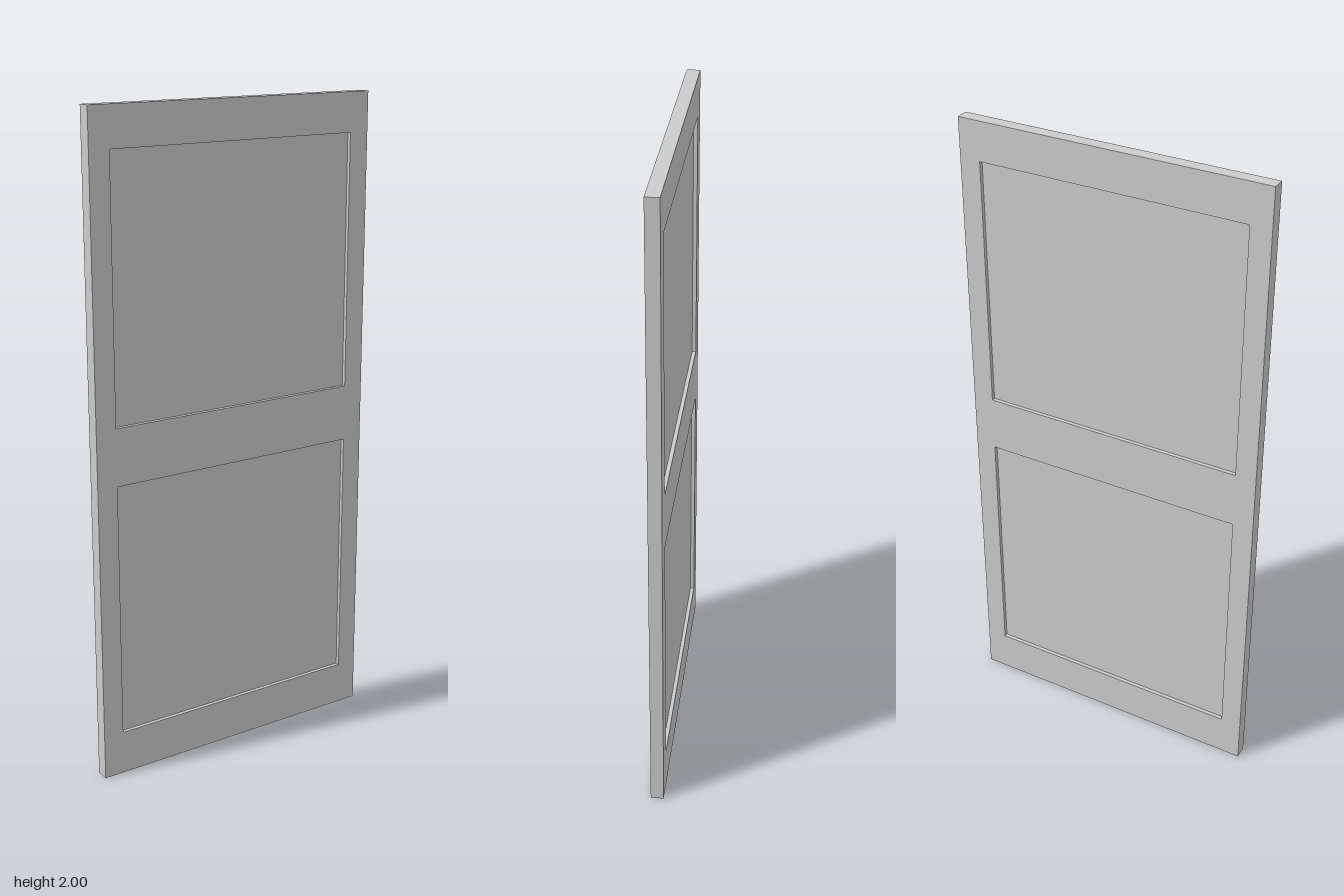
import * as THREE from 'three';

const W = 0.96, H = 2, T = 0.04;       // door leaf
const PANEL_T = 0.016;                 // recessed panel thickness
const OPENING_X = 0.415;               // half width of the openings
const OPENINGS = [
  { name: 'lowerPanel', y0: 0.135, y1: 0.92 },
  { name: 'upperPanel', y0: 1.095, y1: 1.88 },
];

function rectangle(target, x0, y0, x1, y1) {
  target.moveTo(x0, y0);
  target.lineTo(x1, y0);
  target.lineTo(x1, y1);
  target.lineTo(x0, y1);
  target.closePath();
  return target;
}

export function createModel() {
  const group = new THREE.Group();
  group.name = 'panelDoor';
  const material = new THREE.MeshStandardMaterial({ color: 0xcccccc });

  // Stiles and rails: one slab with two rectangular openings
  const outline = rectangle(new THREE.Shape(), -W / 2, 0, W / 2, H);
  for (const { y0, y1 } of OPENINGS) {
    outline.holes.push(rectangle(new THREE.Path(), -OPENING_X, y0, OPENING_X, y1));
  }
  const frameGeometry = new THREE.ExtrudeGeometry(outline, { depth: T, bevelEnabled: false });
  frameGeometry.translate(0, 0, -T / 2);
  const frame = new THREE.Mesh(frameGeometry, material);
  frame.name = 'doorFrame';
  group.add(frame);

  // Thin panels, recessed equally from both faces
  for (const { name, y0, y1 } of OPENINGS) {
    const panel = new THREE.Mesh(new THREE.BoxGeometry(OPENING_X * 2, y1 - y0, PANEL_T), material);
    panel.position.y = (y0 + y1) / 2;
    panel.name = name;
    group.add(panel);
  }
  return group;
}
